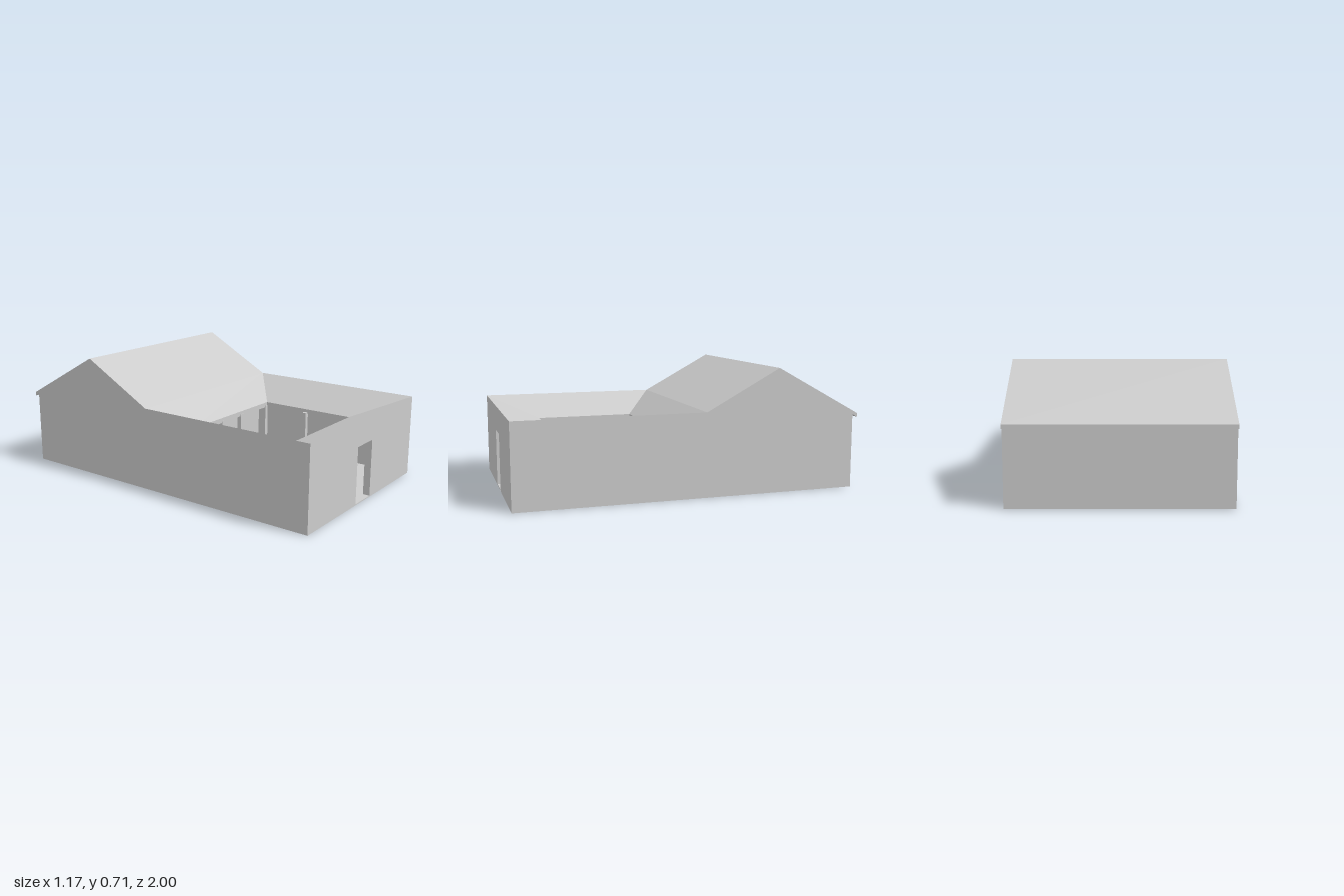
import * as THREE from 'three';

const W = 0.583;          // half width of the house
const T = 0.04;           // wall thickness
const WALL_H = 0.45;      // wall height below the roof
const DOOR_W = 0.082, DOOR_H = 0.333;
const VALLEY_Z = -0.07;   // where the main roof meets the courtyard roof

const material = new THREE.MeshStandardMaterial({ color: 0xcccccc, flatShading: true });

function add(parent, name, geometry, x = 0, y = 0, z = 0) {
  const mesh = new THREE.Mesh(geometry, material);
  mesh.name = name;
  mesh.position.set(x, y, z);
  parent.add(mesh);
  return mesh;
}

// Box standing on its base
function standingBox(w, h, d) {
  return new THREE.BoxGeometry(w, h, d).translate(0, h / 2, 0);
}

function polygon(points) {
  return new THREE.Shape(points.map(([a, b]) => new THREE.Vector2(a, b)));
}

// Profile of [z, y] points extruded across x, centred on x = 0
function acrossX(points, width) {
  return new THREE.ExtrudeGeometry(polygon(points), { depth: width, bevelEnabled: false })
    .rotateY(-Math.PI / 2).translate(width / 2, 0, 0);
}

// Cross wall with a doorway in the middle
function doorWall(halfWidth) {
  const shape = polygon([
    [-halfWidth, 0], [-DOOR_W, 0], [-DOOR_W, DOOR_H], [DOOR_W, DOOR_H],
    [DOOR_W, 0], [halfWidth, 0], [halfWidth, WALL_H], [-halfWidth, WALL_H],
  ]);
  return new THREE.ExtrudeGeometry(shape, { depth: T, bevelEnabled: false });
}

// Four slabs sloping inward to the courtyard opening, mitred at the corners
function courtyardRoof() {
  const section = [
    { x: W, front: 1, back: VALLEY_Z, y: 0.478 },
    { x: 0.372, front: 0.70, back: 0.11, y: 0.347 },
    { x: 0.372, front: 0.70, back: 0.11, y: 0.317 },
    { x: W, front: 1, back: VALLEY_Z, y: 0.448 },
  ];
  const corners = [[-1, 'front'], [1, 'front'], [1, 'back'], [-1, 'back']];
  const point = (c, s) => {
    const [side, end] = corners[c % 4], p = section[s % 4];
    return [side * p.x, p.y, p[end]];
  };
  const positions = [];
  for (let c = 0; c < 4; c++) {
    for (let s = 0; s < 4; s++) {
      const a = point(c, s), b = point(c + 1, s), d = point(c + 1, s + 1), e = point(c, s + 1);
      positions.push(...a, ...b, ...d, ...a, ...d, ...e);
    }
  }
  const geometry = new THREE.BufferGeometry();
  geometry.setAttribute('position', new THREE.Float32BufferAttribute(positions, 3));
  geometry.computeVertexNormals();
  return geometry;
}

export function createModel() {
  const house = new THREE.Group();
  house.name = 'courtyardHouse';

  // Floor, with the threshold running through the front door
  add(house, 'floor', standingBox(2 * (W - T), 0.006, 1.89), 0, 0, 0.015);
  add(house, 'threshold', standingBox(2 * DOOR_W, 0.006, T), 0, 0, 1 - T / 2);

  // Outer walls
  const sideProfile = [[1, 0], [1, WALL_H], [VALLEY_Z, WALL_H], [-0.5, 0.69], [-0.97, 0.432], [-0.97, 0]];
  for (const side of [-1, 1]) {
    add(house, side > 0 ? 'leftWall' : 'rightWall', acrossX(sideProfile, T), side * (W - T / 2));
  }
  add(house, 'frontWall', doorWall(W - T), 0, 0, 1 - T);
  add(house, 'rearWall', standingBox(2 * (W - T), 0.432, T), 0, 0, -0.97 + T / 2);

  // Wall between the courtyard and the rear room
  add(house, 'partitionWall', doorWall(W - T), 0, 0, VALLEY_Z - T);

  // Roofs
  add(house, 'gableRoof', acrossX([
    [VALLEY_Z, 0.478], [-0.5, 0.71], [-1, 0.435], [-1, 0.413], [-0.5, 0.686], [VALLEY_Z, 0.448],
  ], 2 * W));
  add(house, 'courtyardRoof', courtyardRoof());

  // Posts under the inner eaves
  const posts = new THREE.Group();
  posts.name = 'courtyardPosts';
  const postGeometry = standingBox(0.026, 0.328, 0.026);
  for (const side of [-1, 1]) {
    for (const z of [0.1, 0.69]) {
      for (const x of [0.095, 0.362]) add(posts, 'post', postGeometry, side * x, 0, z);
    }
    add(posts, 'post', postGeometry, side * 0.362, 0, 0.4);
  }
  house.add(posts);

  return house;
}
